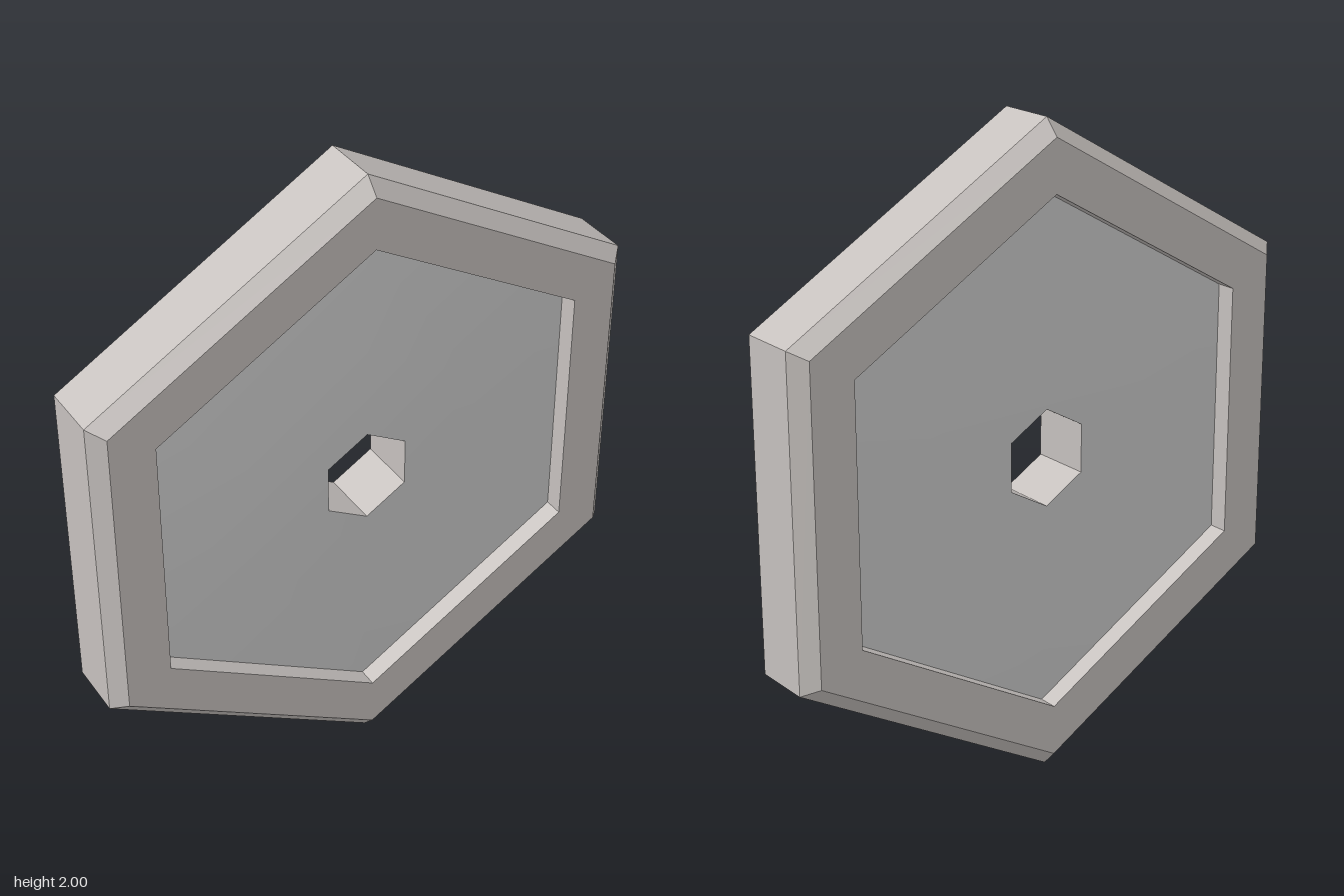
import * as THREE from 'three';

const R_RIM = 0.79, Z_RIM = 0.075; // where the web meets the frame
const R_HOLE = 0.15, Z_HOLE = 0.095;

// Six-sided lathe whose axis points along z, corners up and down
function hexLathe(name, profile, material) {
  const points = profile.map(([r, z]) => new THREE.Vector2(r, z));
  const geometry = new THREE.LatheGeometry(points, 6);
  geometry.rotateX(Math.PI / 2);
  const mesh = new THREE.Mesh(geometry, material);
  mesh.name = name;
  return mesh;
}

export function createModel() {
  const frameMaterial = new THREE.MeshStandardMaterial({ color: 0xc5c0bd, flatShading: true });
  const webMaterial = new THREE.MeshStandardMaterial({ color: 0xcccccc });

  const body = new THREE.Group();
  body.position.y = 1;

  // Bevelled hexagonal frame, open towards the web
  body.add(hexLathe('frame', [
    [R_RIM, -Z_RIM], [R_RIM, -0.135], [0.95, -0.135], [1, -0.09],
    [1, 0.09], [0.95, 0.135], [R_RIM, 0.135], [R_RIM, Z_RIM],
  ], frameMaterial));

  // Slightly domed web, the same on both faces
  const web = [[R_RIM, Z_RIM], [0.43, 0.092], [R_HOLE, Z_HOLE]];
  body.add(hexLathe('frontWeb', web, webMaterial));
  const backWeb = hexLathe('backWeb', web, webMaterial);
  backWeb.rotation.y = Math.PI;
  body.add(backWeb);

  // Walls of the central through hole
  body.add(hexLathe('holeWall', [[R_HOLE, Z_HOLE], [R_HOLE, -Z_HOLE]], frameMaterial));

  body.name = 'hexagonalPlate';
  const model = new THREE.Group();
  model.add(body);
  return model;
}
